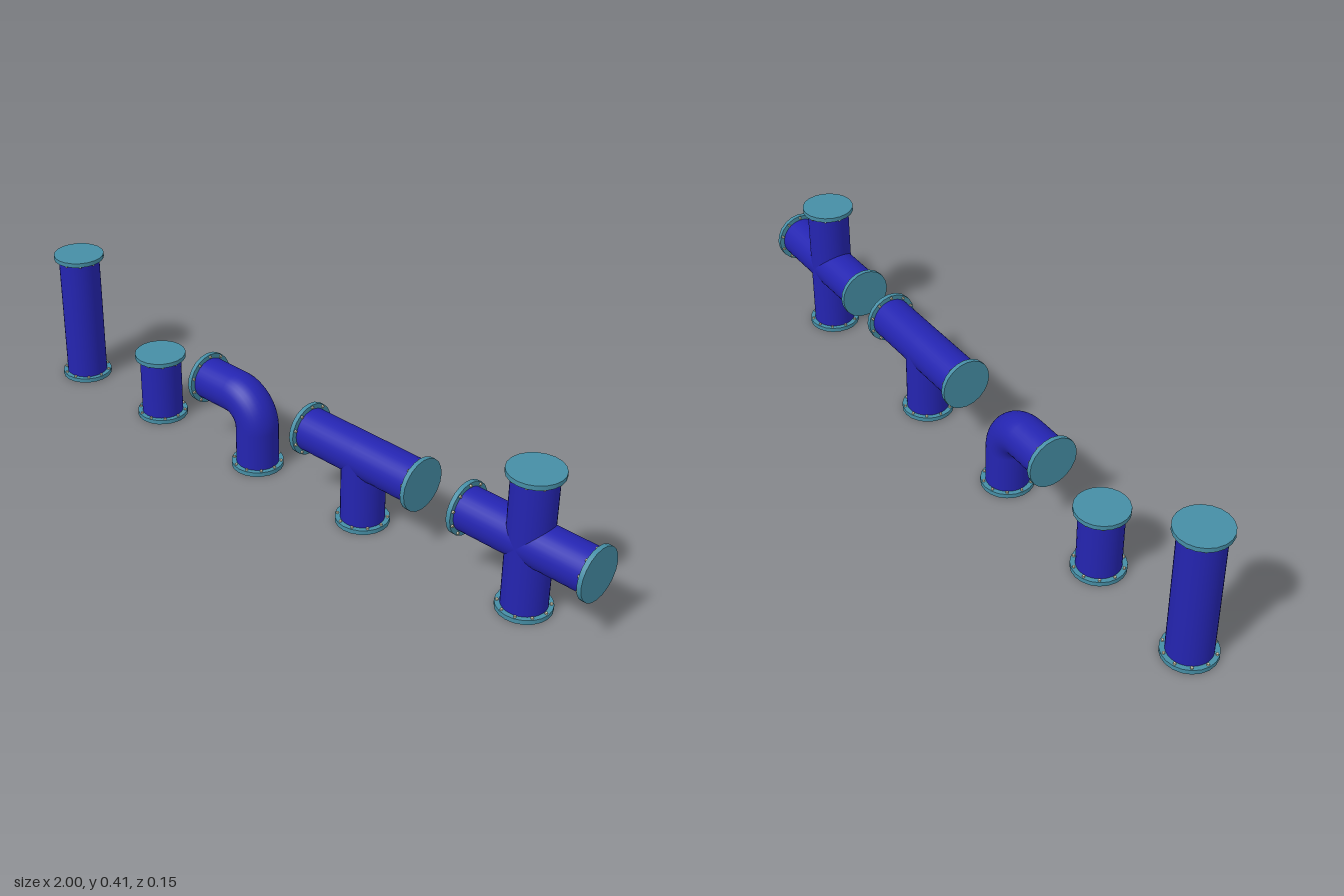
import * as THREE from 'three';

const HALF = 0.204, PIPE_R = 0.061, FLANGE_R = 0.075, FLANGE_T = 0.013, BEND_R = 0.082;

const pipeMat = new THREE.MeshStandardMaterial({ color: 0x2424b0 });
const flangeMat = new THREE.MeshStandardMaterial({ color: 0x468ea5 });
const boltMat = new THREE.MeshStandardMaterial({ color: 0xc8c2a8 });

function addMesh(parent, name, geometry, material) {
  const mesh = new THREE.Mesh(geometry, material);
  mesh.name = name;
  parent.add(mesh);
  return mesh;
}

// One pipe end reaching out along +y: straight tube, flange and ring of bolts
function arm(start, length) {
  const g = new THREE.Group();
  g.name = 'pipeArm';
  const tubeLength = length - FLANGE_T - start;
  addMesh(g, 'tube', new THREE.CylinderGeometry(PIPE_R, PIPE_R, tubeLength, 32, 1, true), pipeMat)
    .position.y = start + tubeLength / 2;
  addMesh(g, 'flange', new THREE.CylinderGeometry(FLANGE_R, FLANGE_R, FLANGE_T, 20), flangeMat)
    .position.y = length - FLANGE_T / 2;
  for (let i = 0; i < 10; i++) {
    const a = i * Math.PI / 5;
    addMesh(g, 'bolt', new THREE.CylinderGeometry(0.004, 0.004, 0.005, 6), boltMat)
      .position.set(0.068 * Math.cos(a), length - FLANGE_T - 0.0022, 0.068 * Math.sin(a));
  }
  return g;
}

// A fitting made of arms, each turned by an angle about z from straight up
function fitting(name, x, y, angles, length = HALF, start = 0) {
  const g = new THREE.Group();
  g.name = name;
  g.position.set(x, y, 0);
  for (const angle of angles) {
    const part = arm(start, length);
    part.rotation.z = angle;
    g.add(part);
  }
  return g;
}

export function createModel() {
  const model = new THREE.Group();
  model.name = 'pipeFittings';
  const UP = 0, LEFT = Math.PI / 2, DOWN = Math.PI, RIGHT = -Math.PI / 2;

  model.add(fitting('longPipe', -0.925, HALF, [UP, DOWN]));
  model.add(fitting('shortPipe', -0.565, HALF / 2, [UP, DOWN], HALF / 2));

  // Elbow: two arms joined by a quarter bend
  const elbow = fitting('elbowPipe', -0.155, HALF, [LEFT, DOWN], HALF, BEND_R);
  const bend = addMesh(elbow, 'bend',
    new THREE.TorusGeometry(BEND_R, PIPE_R, 32, 16, Math.PI / 2), pipeMat);
  bend.position.set(-BEND_R, -BEND_R, 0);
  model.add(elbow);

  model.add(fitting('teePipe', 0.25, HALF, [LEFT, RIGHT, DOWN]));
  model.add(fitting('crossPipe', 0.796, HALF, [UP, LEFT, DOWN, RIGHT]));
  return model;
}
